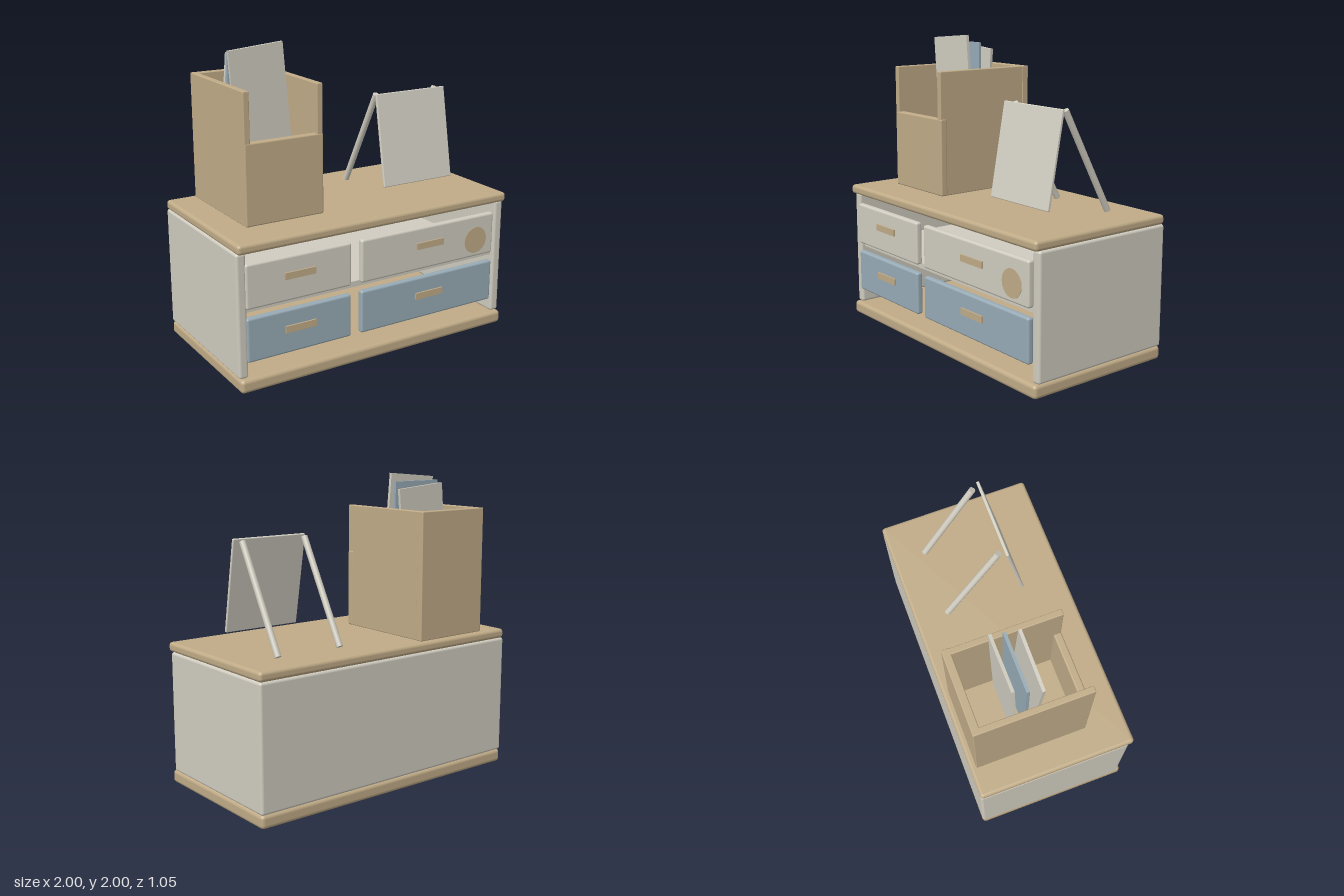
import * as THREE from 'three';
import { RoundedBoxGeometry } from 'three/addons/geometries/RoundedBoxGeometry.js';

const flat = (name, color) => {
  const m = new THREE.MeshStandardMaterial({ color });
  m.name = name;
  return m;
};

export function createModel() {
  const wood = flat('light wood', 0xc0ab87);
  const cream = flat('cream paint', 0xd0ccc0);
  const blue = flat('dusty blue', 0x98abb6);
  const ivory = flat('ivory board', 0xd3d0c3);

  const model = new THREE.Group();
  model.name = 'deskOrganizer';

  const add = (parent, name, geometry, material) => {
    const mesh = new THREE.Mesh(geometry, material);
    mesh.name = name;
    parent.add(mesh);
    return mesh;
  };
  // Box given by its limits on each axis, with rounded edges where r > 0
  const box = (parent, name, material, [x0, x1], [y0, y1], [z0, z1], r = 0) => {
    const size = [x1 - x0, y1 - y0, z1 - z0];
    const geometry = r ? new RoundedBoxGeometry(...size, 3, r) : new THREE.BoxGeometry(...size);
    const mesh = add(parent, name, geometry, material);
    mesh.position.set((x0 + x1) / 2, (y0 + y1) / 2, (z0 + z1) / 2);
    return mesh;
  };
  const group = (name) => {
    const g = new THREE.Group();
    g.name = name;
    model.add(g);
    return g;
  };

  // Cabinet shell, open at the front
  const cabinet = group('cabinet');
  box(cabinet, 'base', wood, [-1, 1], [0, 0.088], [-0.525, 0.525], 0.025);
  box(cabinet, 'top', wood, [-1, 1], [0.882, 0.945], [-0.525, 0.525], 0.022);
  box(cabinet, 'leftSide', cream, [0.935, 1], [0.086, 0.884], [-0.525, 0.495], 0.018);
  box(cabinet, 'rightSide', cream, [-1, -0.935], [0.086, 0.884], [-0.525, 0.495], 0.018);
  box(cabinet, 'back', cream, [-0.998, 0.998], [0.086, 0.884], [-0.525, -0.48], 0.018);
  box(cabinet, 'shelf', cream, [-0.94, 0.94], [0.497, 0.535], [-0.5, 0.465]);

  // Four drawer fronts with handles
  const drawers = group('drawers');
  const columns = [
    { x: [-0.945, -0.215], handle: -0.5825 },
    { x: [-0.14, 0.915], handle: 0.385 },
  ];
  const rows = [
    { y: [0.527, 0.813], material: cream, handle: 0.692 },
    { y: [0.185, 0.471], material: blue, handle: 0.347 },
  ];
  for (const row of rows) {
    for (const col of columns) {
      box(drawers, 'drawerFront', row.material, col.x, row.y, [0.46, 0.505], 0.015);
      box(drawers, 'handle', wood, [col.handle - 0.107, col.handle + 0.107],
        [row.handle - 0.022, row.handle + 0.022], [0.5, 0.516]);
    }
  }

  // Round spot on the upper drawer
  const spot = add(drawers, 'roundSpot', new THREE.CylinderGeometry(0.09, 0.09, 0.006, 40), wood);
  spot.rotation.x = Math.PI / 2;
  spot.position.set(0.765, 0.645, 0.5045);

  // Upright paper holder with a low front
  const holder = group('paperHolder');
  box(holder, 'holderFloor', wood, [-0.79, -0.29], [0.945, 0.985], [-0.45, 0.23]);
  box(holder, 'holderBack', wood, [-0.81, -0.268], [0.945, 1.775], [-0.485, -0.435], 0.006);
  box(holder, 'holderRightSide', wood, [-0.81, -0.77], [0.945, 1.775], [-0.45, 0.26], 0.006);
  box(holder, 'holderLeftSide', wood, [-0.312, -0.272], [0.945, 1.775], [-0.45, 0.26], 0.006);
  box(holder, 'holderFront', wood, [-0.81, -0.268], [0.945, 1.463], [0.212, 0.262], 0.01);

  // Sheets standing in the holder, fanned out
  const sheets = [
    { y: 1.598, z: -0.045, tilt: 0.085, material: cream },
    { y: 1.56, z: -0.125, tilt: 0, material: blue },
    { y: 1.532, z: -0.202, tilt: -0.085, material: cream },
  ];
  for (const s of sheets) {
    const sheet = add(holder, 'sheet', new THREE.BoxGeometry(0.376, 0.77, 0.02), s.material);
    sheet.position.set(-0.536, s.y, s.z);
    sheet.rotation.z = s.tilt;
  }

  // Leaning display board with two rear legs
  const display = group('displayStand');
  const board = add(display, 'board', new RoundedBoxGeometry(0.545, 0.61, 0.02, 2, 0.006), ivory);
  board.position.set(0.4875, 1.325, 0.165);
  board.rotation.x = -0.18;

  const foot = new THREE.Vector3(0, 0.953, -0.302);
  const head = new THREE.Vector3(0, 1.612, 0.063);
  const along = head.clone().sub(foot);
  for (const x of [0.252, 0.72]) {
    const leg = add(display, 'leg', new THREE.CylinderGeometry(0.021, 0.021, along.length(), 20), cream);
    leg.position.copy(foot).add(head).multiplyScalar(0.5).setX(x);
    leg.quaternion.setFromUnitVectors(new THREE.Vector3(0, 1, 0), along.clone().normalize());
  }

  return model;
}
